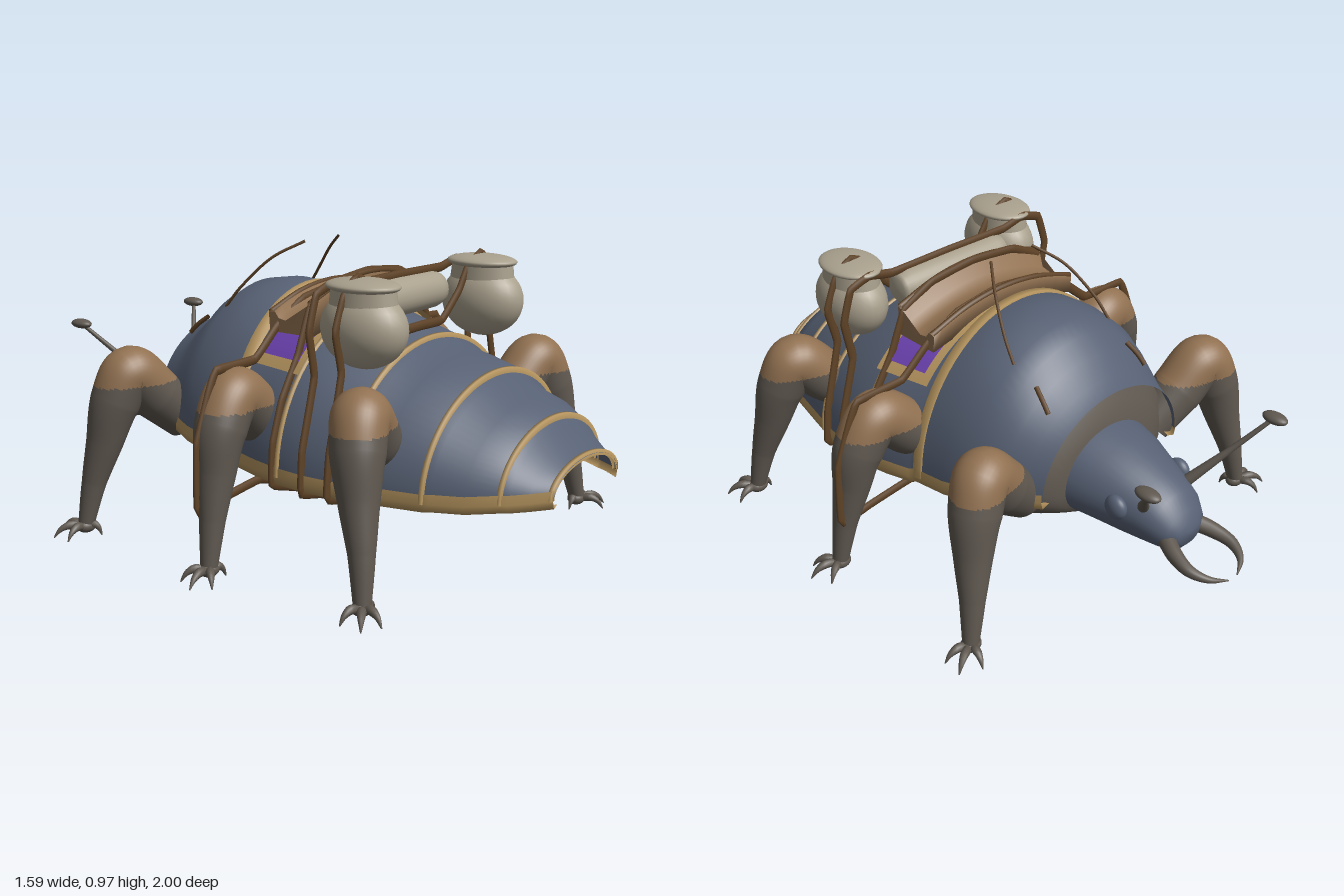
import * as THREE from 'three';

const mat = (name, color) => {
  const m = new THREE.MeshStandardMaterial({ color, side: THREE.DoubleSide });
  m.name = name;
  return m;
};
const V = (x, y, z) => new THREE.Vector3(x, y, z);

// Linear lookup in rows of [z, a, b, ...] sorted by falling z
function sample(rows, z) {
  let i = 0;
  while (i < rows.length - 2 && rows[i + 1][0] > z) i++;
  const p = rows[i], q = rows[i + 1];
  const t = THREE.MathUtils.clamp((p[0] - z) / (p[0] - q[0]), 0, 1);
  return p.map((v, k) => v + (q[k] - v) * t);
}

// Skin over rings of points; closed rings may be capped. keep() filters faces by centre.
function loft(rings, closed = true, caps = false, keep = null) {
  const n = rings[0].length, pts = rings.flat(), idx = [];
  const face = (a, b, c) => {
    const mid = pts[a].clone().add(pts[b]).add(pts[c]).divideScalar(3);
    if (!keep || keep(mid)) idx.push(a, b, c);
  };
  for (let i = 0; i < rings.length - 1; i++) {
    for (let j = 0; j < (closed ? n : n - 1); j++) {
      const k = (j + 1) % n, a = i * n + j, b = i * n + k;
      face(a, b, a + n); face(b, b + n, a + n);
    }
  }
  if (caps) for (const [ring, flip] of [[rings[0], 1], [rings.at(-1), 0]]) {
    const s = pts.length;
    pts.push(...ring.map(p => p.clone()));
    for (let j = 1; j < n - 1; j++) flip ? face(s, s + j + 1, s + j) : face(s, s + j, s + j + 1);
  }
  const g = new THREE.BufferGeometry().setFromPoints(pts);
  g.setIndex(idx);
  g.computeVertexNormals();
  return g;
}

// Rings of a smooth limb whose radius varies along its path
function limbRings(points, radii, steps = 24, sides = 14) {
  const curve = new THREE.CatmullRomCurve3(points), f = curve.computeFrenetFrames(steps);
  return Array.from({ length: steps + 1 }, (_, i) => {
    const t = i / steps, u = curve.getUtoTmapping(t) * (radii.length - 1);
    const k = Math.min(Math.floor(u), radii.length - 2);
    const r = THREE.MathUtils.lerp(radii[k], radii[k + 1], u - k), c = curve.getPointAt(t);
    return Array.from({ length: sides }, (_, j) => {
      const a = j / sides * Math.PI * 2;
      return c.clone().addScaledVector(f.normals[i], r * Math.cos(a)).addScaledVector(f.binormals[i], r * Math.sin(a));
    });
  });
}
const limb = (points, radii, steps, sides) => loft(limbRings(points, radii, steps, sides), true, true);

// Shell profile: z, half width, top, lower edge
const SHELL = [
  [1, 0.2, 0.40, 0.31], [0.95, 0.25, 0.42, 0.305], [0.9, 0.29, 0.465, 0.3], [0.88, 0.305, 0.5, 0.3],
  [0.8, 0.365, 0.545, 0.295], [0.7, 0.395, 0.58, 0.29], [0.68, 0.41, 0.615, 0.29], [0.55, 0.44, 0.65, 0.29],
  [0.46, 0.46, 0.67, 0.29], [0.44, 0.47, 0.695, 0.29], [0.3, 0.49, 0.735, 0.295], [0.2, 0.49, 0.77, 0.3],
  [0.1, 0.475, 0.775, 0.305], [0, 0.45, 0.78, 0.31], [-0.02, 0.44, 0.82, 0.315], [-0.15, 0.435, 0.83, 0.33],
  [-0.25, 0.415, 0.815, 0.345], [-0.31, 0.39, 0.78, 0.355], [-0.36, 0.37, 0.725, 0.365],
  [-0.42, 0.34, 0.675, 0.375], [-0.48, 0.31, 0.655, 0.385],
];
const BELLY = [[0.9, 0.255], [0.8, 0.24], [0.5, 0.215], [0, 0.205], [-0.3, 0.21], [-0.5, 0.23]];
function shellPoint(z, a, off = 0) {
  const [, w, top, base] = sample(SHELL, z);
  return V((w + off) * Math.cos(a), base + (top - base + off) * Math.sin(a), z);
}
const arc = (z, a0, a1, off, n = 40) =>
  Array.from({ length: n + 1 }, (_, i) => shellPoint(z, a0 + (a1 - a0) * i / n, off));
const oval = (z, w, top, mid, bottom, n = 40) => Array.from({ length: n }, (_, i) => {
  const a = i / n * Math.PI * 2, s = Math.sin(a);
  return V(w * Math.cos(a), mid + s * (s > 0 ? top - mid : mid - bottom), z);
});

export function createModel() {
  const root = new THREE.Group();
  const blue = mat('blue shell', 0x576174), grey = mat('dark skin', 0x5f5850), tan = mat('tan leather', 0x917151);
  const gold = mat('gold trim', 0xb6955f), bone = mat('pale clay', 0xa9a08d), strapMat = mat('brown strap', 0x5e4226);
  const purple = mat('purple cloth', 0x6c42b0);
  const add = (name, geo, m, parent = root) => {
    const mesh = new THREE.Mesh(geo, m);
    mesh.name = name;
    parent.add(mesh);
    return mesh;
  };
  const ball = (name, m, p, s, parent) => {
    const b = add(name, new THREE.SphereGeometry(1, 28, 18), m, parent);
    b.position.set(...p);
    b.scale.set(...s);
    return b;
  };
  const rope = (pts, r, closed = false, tension = 0.5, n = 60) =>
    new THREE.TubeGeometry(new THREE.CatmullRomCurve3(pts, closed, 'catmullrom', tension), n, r, 8, closed);

  // Domed shell, open at the tail, and the soft body rounded off inside it
  add('shell', loft(SHELL.map(r => arc(r[0], 0, Math.PI, 0)), false), blue);
  const body = [0.879, 0.86, 0.82, 0.76, 0.68, 0.58, 0.45, 0.3, 0.15, 0, -0.15, -0.25, -0.31, -0.36, -0.4].map(z => {
    const [, w, top, base] = sample(SHELL, z);
    const f = z > 0.45 ? Math.sqrt(1 - ((z - 0.45) / 0.43) ** 2) : 1;
    return oval(z, w * 0.95 * f, base + (top - base) * 0.92 * f, base, base + (sample(BELLY, z)[1] - base) * f);
  });
  body.push(oval(-0.44, 0.28, 0.59, 0.375, 0.225), oval(-0.465, 0.22, 0.535, 0.36, 0.23), oval(-0.48, 0.15, 0.45, 0.34, 0.25));
  add('belly', loft(body, true, true), grey);

  // Gold edges on the segments and bands along the lower rim
  for (const z of [0.992, 0.88, 0.68, 0.44, 0.2])
    add('segmentTrim', loft([[-0.007, -0.01], [-0.006, 0.007], [0.006, 0.007], [0.007, -0.012]].map(([dz, off]) =>
      arc(z, 0, Math.PI, off).map(p => p.setZ(z + dz))), false), gold);
  add('shoulderTrim', loft([-0.012, -0.02, -0.05, -0.052].map((z, i) => arc(z, 0, Math.PI, i % 3 ? 0.008 : 0)), false), gold);
  for (const s of [1, -1]) {
    add('rimTrim', loft(SHELL.map(([z, w, , b]) => [
      V(s * w * 0.9, b - 0.015, z), V(s * (w - 0.002), b - 0.025, z),
      V(s * (w + 0.005), b, z), V(s * (w + 0.003), b + 0.03, z)]), false), gold);
  }

  // Head, eyes, mandibles and feelers
  add('head', loft([
    [-0.46, 0.2, 0.53, 0.36, 0.23], [-0.55, 0.178, 0.51, 0.36, 0.225], [-0.63, 0.152, 0.48, 0.35, 0.22],
    [-0.7, 0.13, 0.45, 0.34, 0.22], [-0.76, 0.112, 0.415, 0.325, 0.225], [-0.8, 0.085, 0.37, 0.31, 0.235],
    [-0.82, 0.05, 0.33, 0.3, 0.26], [-0.825, 0.005, 0.305, 0.3, 0.295]].map(r => oval(...r)), true, true), blue);
  for (const s of [1, -1]) {
    ball('eye', blue, [s * 0.148, 0.375, -0.64], [0.027, 0.041, 0.041]);
    add('mandible', limb([V(s * 0.06, 0.29, -0.77), V(s * 0.092, 0.272, -0.84), V(s * 0.102, 0.255, -0.91),
      V(s * 0.075, 0.24, -0.965), V(s * 0.02, 0.227, -0.999)], [0.03, 0.026, 0.019, 0.011, 0.002]), grey);
    add('feeler', limb([V(s * 0.1, 0.39, -0.71), V(s * 0.2, 0.51, -0.8), V(s * 0.29, 0.62, -0.88)], [0.019, 0.01, 0.007]), grey);
    ball('feelerTip', grey, [s * 0.292, 0.624, -0.885], [0.027, 0.017, 0.045]);
    // Reins
    add('rein', rope([V(s * 0.215, 0.745, -0.25), V(s * 0.2, 0.82, -0.19), V(s * 0.155, 0.915, -0.1), V(s * 0.09, 0.972, -0.01)], 0.005), strapMat);
    add('reinStub', rope([V(s * 0.205, 0.7, -0.34), V(s * 0.215, 0.67, -0.38), V(s * 0.22, 0.64, -0.41)], 0.008), strapMat);
  }

  // Six legs: tan knees, dark shins, clawed feet
  for (const s of [1, -1]) for (const [z0, dz, reach] of [[-0.42, -0.09, 0.64], [0.06, 0.03, 0.685], [0.53, 0.11, 0.64]]) {
    const leg = new THREE.Group();
    leg.name = 'leg';
    root.add(leg);
    const k = reach - 0.64;
    const path = [[0.3, 0.36, -0.5], [0.41, 0.46, -0.25], [0.505 + k / 2, 0.545, 0], [0.555 + k, 0.45, 0.25],
      [0.585 + k, 0.32, 0.5], [0.615 + k, 0.18, 0.8], [reach, 0.04, 1]].map(([x, y, t]) => V(s * x, y, z0 + dz * t));
    const rings = limbRings(path, [0.075, 0.09, 0.09, 0.083, 0.062, 0.041, 0.027], 120, 40);
    add('knee', loft(rings, true, false, p => p.y > 0.512), tan, leg);
    add('shin', loft(rings, true, false, p => p.y <= 0.512), grey, leg);
    ball('ankle', grey, [s * reach, 0.033, z0 + dz], [0.036, 0.024, 0.03], leg);
    const aim = Math.atan2(dz, 0.16);
    for (const [da, len] of [[-0.75, 0.09], [0, 0.11], [0.65, 0.095], [2.5, 0.055]]) {
      const at = (d, y) => V(s * (reach + Math.cos(aim + da) * d), y, z0 + dz + Math.sin(aim + da) * d);
      add('claw', limb([at(0.015, 0.032), at(len * 0.5, 0.04), at(len * 0.8, 0.028), at(len, 0.003)],
        [0.013, 0.015, 0.009, 0.002], 10, 8), grey, leg);
    }
  }

  // Saddle cloth with gold border, then the saddle with raised lips
  const cloth = (name, z0, z1, a, off, m) => add(name, loft([z0, z1].map(z =>
    arc(z, a, Math.PI - a, off + 0.785 - sample(SHELL, z)[2])), false), m);
  cloth('clothBorder', 0.005, 0.212, 0.68, 0.006, gold);
  cloth('saddleCloth', 0.03, 0.192, 0.76, 0.012, purple);
  const lip = [[0.025, 0.75], [0.02, 0.835], [0.045, 0.84], [0.06, 0.82], [0.11, 0.812], [0.16, 0.822],
    [0.175, 0.87], [0.198, 0.875], [0.198, 0.75]];
  add('saddle', loft(Array.from({ length: 17 }, (_, i) => {
    const u = i / 8 - 1;
    return lip.map(([z, y]) => V(0.31 * u, y - (y > 0.76 ? 0.065 : 0.04) * u * u, z));
  }), true, true), tan);
  for (const [z, y] of [[0.03, 0.838], [0.188, 0.88]])
    add('saddleEdge', rope([-1, -0.5, 0, 0.5, 1].map(u => V(0.31 * u, y - 0.065 * u * u, z)), 0.01), strapMat);

  // Bedroll and two lidded pots
  const rollProfile = [[0.001, -0.236], [0.04, -0.234], [0.055, -0.222], [0.062, -0.19], [0.064, 0],
    [0.062, 0.19], [0.055, 0.222], [0.04, 0.234], [0.001, 0.236]].map(p => new THREE.Vector2(...p));
  const roll = add('bedroll', new THREE.LatheGeometry(rollProfile, 28), bone);
  roll.rotation.z = Math.PI / 2;
  roll.position.set(0, 0.808, 0.298);
  for (const s of [1, -1]) {
    ball('pot', bone, [s * 0.335, 0.768, 0.415], [0.103, 0.122, 0.148]);
    const neck = add('potNeck', new THREE.CylinderGeometry(0.078, 0.083, 0.06, 28), bone);
    neck.position.set(s * 0.335, 0.86, 0.412);
    neck.scale.z = 1.4;
    ball('potLid', bone, [s * 0.335, 0.897, 0.41], [0.093, 0.024, 0.125]);
  }

  // Load straps, thin bands looped from the top over the sides and under the belly
  const straps = [
    [0.055, [[0, 0.825], [0.18, 0.8], [0.31, 0.73], [0.42, 0.64], [0.6, 0.635], [0.635, 0.57], [0.69, 0.42], [0.692, 0.21], [0.58, 0.226]]],
    [0.18, [[0, 0.88], [0.18, 0.862], [0.3, 0.8], [0.36, 0.66], [0.44, 0.53], [0.485, 0.4], [0.49, 0.275]]],
    [0.3, [[0, 0.878], [0.25, 0.875], [0.34, 0.895], [0.42, 0.87], [0.455, 0.76], [0.43, 0.62], [0.49, 0.4], [0.495, 0.27]]],
    [0.395, [[0, 0.725], [0.12, 0.725], [0.22, 0.81], [0.27, 0.885], [0.35, 0.922], [0.41, 0.87], [0.45, 0.77], [0.42, 0.64], [0.48, 0.4], [0.49, 0.27]]],
  ];
  for (const [z, side] of straps) {
    const half = [...side, [0.4, 0.246], [0.24, 0.2], [0, 0.208]].map(([x, y]) => V(x, y, 0));
    const mirror = half.slice(1, -1).reverse().map(p => V(-p.x, p.y, 0));
    const strap = add('loadStrap', rope([...half, ...mirror], 0.016, true, 0.12, 160), strapMat);
    strap.scale.z = 0.5;
    strap.position.z = z;
  }
  return root;
}
